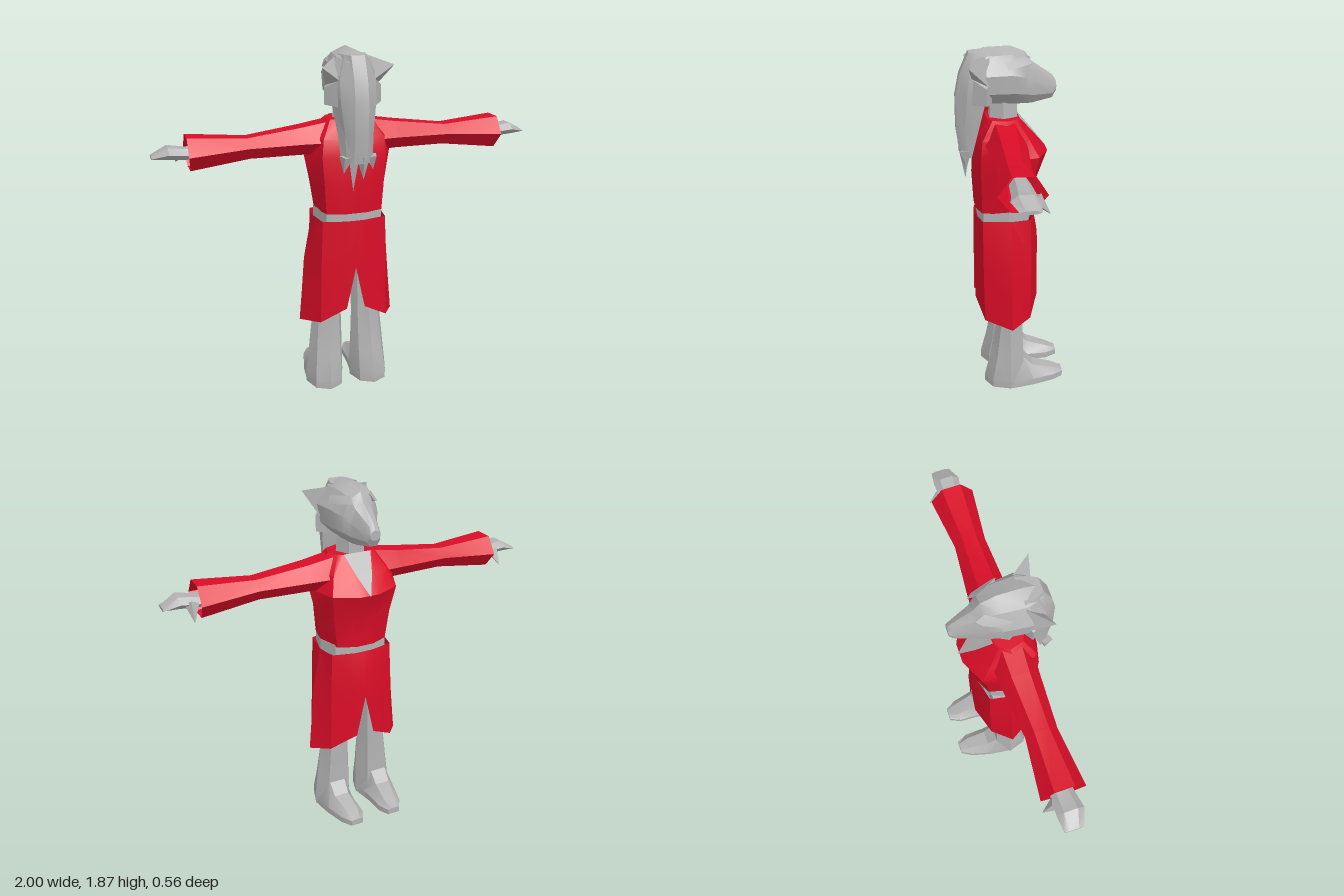
import * as THREE from 'three';
import { toCreasedNormals } from 'three/addons/utils/BufferGeometryUtils.js';
import { ConvexGeometry } from 'three/addons/geometries/ConvexGeometry.js';

const V = (x, y, z) => new THREE.Vector3(x, y, z);
const CREASE = 0.5;

// Skin a list of point rings; optionally close each ring and cap both ends
function loft(rings, closed = true, caps = closed) {
  const tris = [];
  const n = rings[0].length;
  for (let i = 0; i < rings.length - 1; i++) {
    for (let j = 0; j < (closed ? n : n - 1); j++) {
      const k = (j + 1) % n;
      const a = rings[i][j], b = rings[i][k], c = rings[i + 1][k], d = rings[i + 1][j];
      tris.push([a, b, c], [a, c, d]);
    }
  }
  if (caps) {
    [rings[0], rings[rings.length - 1]].forEach((r, end) => {
      const m = r.reduce((s, p) => s.add(p), V(0, 0, 0)).divideScalar(n);
      r.forEach((p, j) => {
        const q = r[(j + 1) % n];
        tris.push(end ? [m, p, q] : [m, q, p]);
      });
    });
  }
  // Turn the skin outward if it came out inside-out
  const mid = V(0, 0, 0);
  rings.flat().forEach((p) => mid.add(p));
  mid.divideScalar(rings.length * n);
  let vol = 0;
  for (const [a, b, c] of tris) {
    vol += a.clone().sub(mid).dot(b.clone().sub(mid).cross(c.clone().sub(mid)));
  }
  if (vol < 0) tris.forEach((t) => t.reverse());
  const geo = new THREE.BufferGeometry().setFromPoints(tris.flat());
  return toCreasedNormals(geo, CREASE);
}

// Full level ring from its +x half, listed from +z round to -z
const levelRing = (y, half) => [
  ...half.map(([x, z]) => V(x, y, z)),
  ...[...half].reverse().map(([x, z]) => V(-x, y, z)),
];

export function createModel() {
  const model = new THREE.Group();
  const red = new THREE.MeshStandardMaterial({ color: 0xd90d27, side: THREE.DoubleSide });
  red.name = 'red cloth';
  const grey = new THREE.MeshStandardMaterial({ color: 0xb2b2b2, side: THREE.DoubleSide });
  grey.name = 'grey skin';

  const add = (parent, name, geo, mat) => {
    const mesh = new THREE.Mesh(geo, mat);
    mesh.name = name;
    parent.add(mesh);
    return mesh;
  };
  // Pointed tuft from base to tip
  const spike = (parent, name, base, tip, r, mat, flat = 1) => {
    const dir = tip.clone().sub(base);
    const geo = toCreasedNormals(new THREE.ConeGeometry(r, dir.length(), 4), CREASE);
    const mesh = add(parent, name, geo, mat);
    mesh.scale.z = flat;
    mesh.position.copy(base).addScaledVector(dir, 0.5);
    mesh.quaternion.setFromUnitVectors(V(0, 1, 0), dir.normalize());
  };

  // Robe top
  add(model, 'torso', loft([
    levelRing(1.03, [[0.06, 0.19], [0.15, 0.16], [0.18, 0.03], [0.14, -0.09], [0.05, -0.13]]),
    levelRing(1.19, [[0.07, 0.198], [0.16, 0.165], [0.205, 0.03], [0.16, -0.1], [0.06, -0.135]]),
    levelRing(1.33, [[0.07, 0.19], [0.17, 0.165], [0.235, 0.04], [0.18, -0.13], [0.05, -0.19]]),
    levelRing(1.42, [[0.07, 0.175], [0.16, 0.155], [0.22, 0.04], [0.15, -0.08], [0.06, -0.113]]),
    levelRing(1.51, [[0.05, 0.125], [0.11, 0.1], [0.13, 0.03], [0.1, -0.02], [0.075, -0.035]]),
  ]), red);

  // Bare chest in the open collar
  add(model, 'chest opening', loft([
    [V(-0.075, 1.513, -0.041), V(0.075, 1.513, -0.041)],
    [V(-0.045, 1.423, -0.119), V(0.045, 1.423, -0.119)],
    [V(-0.002, 1.33, -0.196), V(0.002, 1.33, -0.196)],
  ], false), grey);

  add(model, 'neck', loft([
    levelRing(1.48, [[0.04, 0.11], [0.085, 0.04], [0.045, -0.035]]),
    levelRing(1.62, [[0.035, 0.1], [0.07, 0.04], [0.04, -0.03]]),
  ]), grey);

  add(model, 'belt', loft([0.975, 1.04].map((y) => levelRing(y,
    [[0.06, 0.178], [0.15, 0.155], [0.183, 0.025], [0.145, -0.08], [0.05, -0.105]]))), grey);

  // Head, from the back of the skull to the snout: z, top, bottom, half width
  add(model, 'head', loft([
    [0.21, 1.83, 1.64, 0.08], [0.13, 1.86, 1.59, 0.14], [0, 1.865, 1.585, 0.125],
    [-0.075, 1.835, 1.58, 0.095], [-0.11, 1.785, 1.58, 0.072],
    [-0.215, 1.715, 1.6, 0.038], [-0.235, 1.685, 1.635, 0.027],
  ].map(([z, t, b, w]) => {
    const h = t - b;
    const half = [[w * 0.6, t - h * 0.12], [w, b + h * 0.55], [w * 0.95, b + h * 0.22], [w * 0.5, b]];
    return [V(0, t, z), ...half.map(([x, y]) => V(x, y, z)),
      ...half.reverse().map(([x, y]) => V(-x, y, z))];
  })), grey);

  // Long hair down the back: y, back z, half width, front z
  add(model, 'hair', loft([
    [1.84, 0.21, 0.07, 0.1], [1.73, 0.258, 0.115, 0.12], [1.62, 0.28, 0.115, 0.12],
    [1.45, 0.28, 0.092, 0.16], [1.31, 0.26, 0.083, 0.195],
  ].map(([y, zb, w, zf]) => levelRing(y, [[0.035, zb],
    [w * 0.8, zb - (zb - zf) * 0.35], [w, zf + 0.01], [w * 0.45, zf + 0.015]]))), grey);
  for (const [x, y] of [[-0.08, 1.26], [-0.03, 1.165], [0.025, 1.22], [0.075, 1.27]]) {
    spike(model, 'hair tip', V(x * 0.85, 1.345, 0.235), V(x, y, 0.232), 0.036, grey);
  }

  for (const s of [1, -1]) {
    const side = new THREE.Group();
    side.name = s > 0 ? 'leftSide' : 'rightSide';
    side.scale.x = s;
    model.add(side);

    // Ear, side lock and brow
    add(side, 'ear', toCreasedNormals(new ConvexGeometry([
      V(0.185, 1.79, 0.22), V(0.09, 1.825, 0.11), V(0.135, 1.68, 0.11), V(0.09, 1.72, 0.2),
    ]), CREASE), grey);
    add(side, 'side lock', toCreasedNormals(new ConvexGeometry([
      V(0.15, 1.68, 0.13), V(0.15, 1.595, 0.13), V(0.1, 1.59, 0.2), V(0.09, 1.72, 0.2),
      V(0.1, 1.59, 0.1), V(0.11, 1.72, 0.1),
    ]), CREASE), grey);
    add(side, 'brow', toCreasedNormals(new ConvexGeometry([
      V(0.115, 1.8, 0.04), V(0.128, 1.765, 0.02), V(0.06, 1.79, -0.115),
      V(0.085, 1.785, -0.09), V(0.05, 1.82, -0.07), V(0.07, 1.76, 0),
    ]), CREASE), grey);

    // Sleeve, six-sided: x, top, middle, bottom, z centre, half depth
    add(side, 'sleeve', loft([
      [0.1, 1.5, 1.4, 1.32, 0.04, 0.11], [0.25, 1.475, 1.4, 1.335, 0.037, 0.1],
      [0.53, 1.44, 1.395, 1.335, 0.043, 0.08], [0.83, 1.465, 1.38, 1.3, 0.043, 0.112],
    ].map(([x, t, m, b, c, h]) => [
      V(x, m, c + h), V(x, t, c + h * 0.45), V(x, t, c - h * 0.45),
      V(x, m, c - h), V(x - 0.01, b, c - h * 0.45), V(x - 0.01, b, c + h * 0.45),
    ]), true, false), red);

    // Hand: x, top, bottom, back z, front z
    add(side, 'hand', loft([
      [0.7, 1.42, 1.35, 0.09, -0.01], [0.83, 1.405, 1.352, 0.095, -0.02],
      [0.92, 1.42, 1.36, 0.11, -0.025], [1, 1.378, 1.362, 0.08, -0.015],
    ].map(([x, t, b, z0, z1]) => {
      const m = (t + b) / 2, q = (z0 - z1) * 0.25;
      return [V(x, m, z0), V(x, t, z0 - q), V(x, t, z1 + q), V(x, m, z1), V(x, b, z1 + q), V(x, b, z0 - q)];
    })), grey);
    spike(side, 'thumb', V(0.86, 1.38, -0.005), V(0.87, 1.308, -0.072), 0.035, grey);

    // Skirt half; the rows drop away from the slits at front and back
    add(side, 'skirt', loft([
      [[0, 0.99, 0.19], [0.05, 0.99, 0.19], [0.17, 0.99, 0.16], [0.19, 0.99, 0.015],
        [0.17, 0.99, -0.09], [0.05, 0.99, -0.12], [0, 0.99, -0.12]],
      [[0, 0.88, 0.195], [0.04, 0.82, 0.195], [0.178, 0.77, 0.16], [0.235, 0.75, 0.015],
        [0.178, 0.77, -0.095], [0.04, 0.82, -0.145], [0, 0.88, -0.145]],
      [[0, 0.73, 0.195], [0.03, 0.64, 0.195], [0.18, 0.57, 0.158], [0.25, 0.56, 0.015],
        [0.18, 0.57, -0.093], [0.03, 0.64, -0.145], [0, 0.73, -0.145]],
      [[0, 0.73, 0.195], [0.05, 0.5, 0.195], [0.185, 0.42, 0.155], [0.265, 0.39, 0.015],
        [0.185, 0.42, -0.09], [0.05, 0.5, -0.145], [0, 0.73, -0.145]],
    ].map((row) => row.map((p) => V(...p))), false), red);

    // Leg: y, x centre, half width, back z, front z
    add(side, 'leg', loft([
      [0.85, 0.1, 0.08, 0.09, -0.06], [0.4, 0.113, 0.083, 0.085, -0.05],
      [0.18, 0.122, 0.098, 0.122, -0.055], [0.05, 0.128, 0.107, 0.155, -0.06],
      [0.003, 0.128, 0.104, 0.155, -0.06],
    ].map(([y, c, w, zb, zf]) => [
      V(c, y, zb), V(c + w * 0.7, y, zb * 0.75), V(c + w, y, 0.02), V(c + w * 0.6, y, zf),
      V(c - w * 0.6, y, zf), V(c - w, y, 0.02), V(c - w * 0.7, y, zb * 0.75),
    ])), grey);

    // Foot: z, top, bottom, x centre, half width
    add(side, 'foot', loft([
      [0.03, 0.19, 0, 0.128, 0.1], [-0.05, 0.175, 0.004, 0.13, 0.09], [-0.11, 0.11, 0.008, 0.13, 0.082],
      [-0.22, 0.075, 0.012, 0.118, 0.066], [-0.28, 0.05, 0.015, 0.115, 0.035],
    ].map(([z, t, b, c, w]) => [
      V(c - w, b, z), V(c - w, 0.045, z), V(c - w * 0.5, t, z),
      V(c + w * 0.5, t, z), V(c + w, 0.045, z), V(c + w, b, z),
    ])), grey);
  }
  return model;
}
